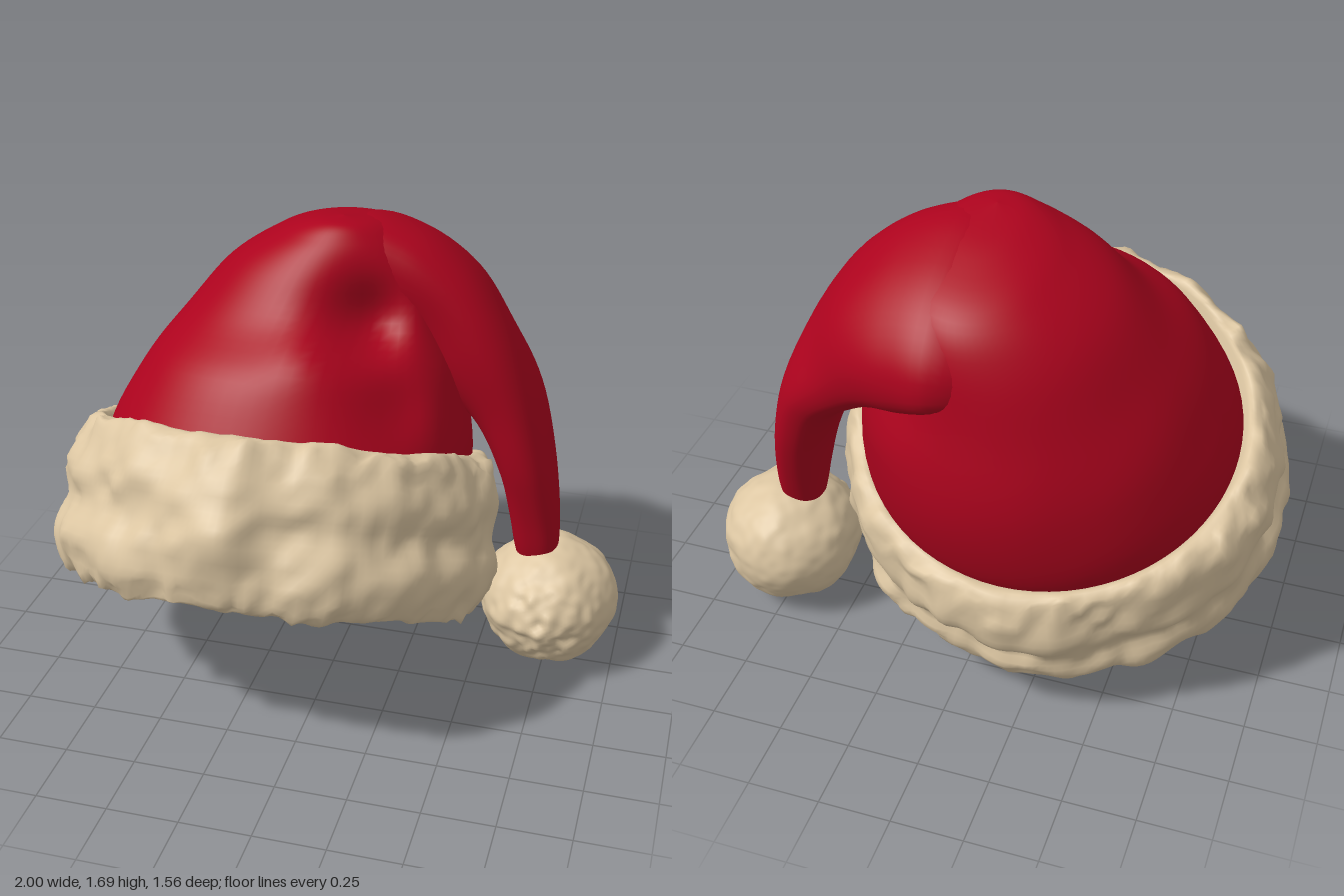
import * as THREE from 'three';
import { mergeVertices } from 'three/addons/utils/BufferGeometryUtils.js';

const TAU = Math.PI * 2;
const V = (x, y, z) => new THREE.Vector3(x, y, z);

// Seeded value noise, -1..1
const hash = (x, y, z) => {
  const s = Math.sin(x * 127.1 + y * 311.7 + z * 74.7) * 43758.5453;
  return (s - Math.floor(s)) * 2 - 1;
};
function noise(p, f) {
  const q = [p.x * f, p.y * f, p.z * f];
  const i = q.map(Math.floor);
  const w = q.map((v, k) => { const t = v - i[k]; return t * t * (3 - 2 * t); });
  let sum = 0;
  for (let c = 0; c < 8; c++) {
    const d = [c & 1, (c >> 1) & 1, c >> 2];
    const weight = d.reduce((m, b, k) => m * (b ? w[k] : 1 - w[k]), 1);
    sum += weight * hash(i[0] + d[0], i[1] + d[1], i[2] + d[2]);
  }
  return sum;
}
const bump = (p, x, y, z, r) => Math.exp(-p.distanceToSquared(V(x, y, z)) / (r * r));

// Skin over closed rings, each an array of points
function loft(rings) {
  const n = rings[0].length;
  const index = [];
  for (let i = 0; i < rings.length - 1; i++) {
    for (let j = 0; j < n; j++) {
      const a = i * n + j, b = i * n + (j + 1) % n;
      index.push(a, b, b + n, a, b + n, a + n);
    }
  }
  const geo = new THREE.BufferGeometry().setFromPoints(rings.flat());
  geo.setIndex(index);
  geo.computeVertexNormals();
  return geo;
}

// Smooth oval rings from keys [a1, b1, a2, b2, side1, side2]: two opposite
// points in a plane, and the extent across it; a power below 1 is squarer
function ovalRings(keys, steps, sides, power, place) {
  const first = new THREE.CatmullRomCurve3(keys.map(k => V(k[0], k[1], k[4])));
  const second = new THREE.CatmullRomCurve3(keys.map(k => V(k[2], k[3], k[5])));
  const soften = v => Math.sign(v) * Math.abs(v) ** power;
  return Array.from({ length: steps + 1 }, (_, i) => {
    const p = first.getPoint(i / steps), q = second.getPoint(i / steps);
    return Array.from({ length: sides }, (_, j) => {
      const c = soften(Math.cos(j / sides * TAU)), s = soften(Math.sin(j / sides * TAU));
      return place((p.x + q.x + c * (p.x - q.x)) / 2,
        (p.y + q.y + c * (p.y - q.y)) / 2,
        (p.z + q.z + s * (q.z - p.z)) / 2);
    });
  });
}

export function createModel() {
  const red = new THREE.MeshStandardMaterial({ color: 0xac031d, side: THREE.DoubleSide });
  red.name = 'red cloth';
  const cream = new THREE.MeshStandardMaterial({ color: 0xdcc6a2 });
  cream.name = 'cream fur';

  const hat = new THREE.Group();
  hat.name = 'hat';
  const add = (name, geo, mat) => {
    const mesh = new THREE.Mesh(geo, mat);
    mesh.name = name;
    hat.add(mesh);
    return mesh;
  };

  // Cloth crown, from the lining down to the rim and up to the peak:
  // front z, y; back z, y; right and left x
  const crown = ovalRings([
    [0.41, 1.14, -0.68, 0.64, -0.79, 0.4],
    [0.61, 0.7, -0.445, 0.2, -0.8, 0.4],
    [0.655, 0.665, -0.44, 0.106, -0.82, 0.42],
    [0.53, 0.97, -0.61, 0.45, -0.83, 0.44],
    [0.47, 1.09, -0.72, 0.63, -0.83, 0.46],
    [0.34, 1.28, -0.77, 0.9, -0.73, 0.42],
    [0.17, 1.41, -0.745, 1.15, -0.59, 0.36],
    [0.05, 1.56, -0.7, 1.38, -0.44, 0.3],
    [-0.02, 1.64, -0.62, 1.53, -0.28, 0.22],
    [-0.08, 1.685, -0.42, 1.63, -0.14, 0.12],
    [-0.17, 1.69, -0.17, 1.69, -0.01, -0.01],
  ], 60, 72, 1, (z, y, x) => V(x, y, z));
  crown.forEach((ring, i) => ring.forEach((p, j) => {
    // Rim sagging at the sides
    const sag = Math.max(0, 1 - Math.abs(i - 12) / 6);
    p.y -= 0.04 * sag * Math.sin(j / 72 * TAU) ** 2;
    // Folds under the bend at front and back, and soft wrinkles above the cuff
    const dent = 0.13 * bump(p, 0.13, 1.43, 0.09, 0.14) - 0.04 * bump(p, -0.02, 1.32, 0.2, 0.12)
      + 0.05 * bump(p, 0.27, 1.18, 0.2, 0.13) - 0.05 * bump(p, 0.2, 1.24, -0.65, 0.12);
    p.z -= dent;
    p.y -= dent * 0.4;
    const k = 1 + 0.022 * noise(p, 4) * THREE.MathUtils.smoothstep(i, 24, 32);
    p.x = -0.17 + (p.x + 0.17) * k;
    p.z = -0.15 + (p.z + 0.15) * k;
  }));
  add('crown', loft(crown), red);

  // Drooping tip: outer x, y; inner x, y; back and front z
  const tail = ovalRings([
    [-0.25, 1.46, -0.17, 1.25, -0.6, -0.2],
    [0.02, 1.635, 0.03, 1.25, -0.73, -0.07],
    [0.23, 1.6, 0.12, 1.19, -0.7, -0.08],
    [0.41, 1.475, 0.22, 1.13, -0.645, -0.09],
    [0.55, 1.285, 0.32, 1.05, -0.59, -0.09],
    [0.665, 1.06, 0.45, 0.95, -0.535, -0.1],
    [0.73, 0.82, 0.54, 0.77, -0.48, -0.13],
    [0.765, 0.6, 0.59, 0.58, -0.41, -0.18],
    [0.77, 0.45, 0.62, 0.44, -0.36, -0.21],
    [0.74, 0.34, 0.66, 0.34, -0.32, -0.25],
  ], 54, 48, 0.85, (x, y, z) => V(x, y, z));
  for (const p of tail.flat()) {
    // The bend slopes down towards the back
    p.y += 0.33 * (p.z + 0.39) * THREE.MathUtils.smoothstep(p.y, 0.9, 1.3);
    p.z += 0.014 * noise(p, 4);
  }
  add('droopingTip', loft(tail), red);

  // Fur cuff: a lumpy profile turned around a tilted axis
  const profile = new THREE.CatmullRomCurve3([
    [0.645, -0.2], [0.665, -0.265], [0.72, -0.265], [0.77, -0.2], [0.785, -0.1], [0.755, 0],
    [0.775, 0.09], [0.75, 0.19], [0.71, 0.27], [0.66, 0.285], [0.625, 0.24],
  ].map(([r, y]) => V(r, y, 0)));
  const cuff = Array.from({ length: 37 }, (_, i) => {
    const { x: r, y } = profile.getPoint(i / 36);
    return Array.from({ length: 200 }, (_, j) => {
      const a = j / 200 * TAU;
      const p = V(r * Math.sin(a), y, r * Math.cos(a));
      const outer = THREE.MathUtils.clamp((r - 0.65) / 0.08, 0, 1);
      const tuft = 0.11 * bump(p, 0.02, -0.02, 0.76, 0.13) + 0.05 * bump(p, 0, 0.2, 0.74, 0.1);
      const flat = 0.035 * Math.max(0, Math.cos(a));
      const lump = 0.028 * noise(p, 6) + 0.016 * noise(p, 15) + tuft - flat;
      const k = 1 + outer * lump / r;
      p.x *= k;
      p.z *= k;
      // Ragged upper and lower edges, the lower one raised at the back
      const edge = outer * Math.min(1, Math.abs(y) / 0.25) ** 3;
      p.y += edge * Math.sign(y) * (0.03 * noise(V(p.x, 0, p.z), 15) + 0.018 * noise(p, 28));
      if (y < 0) p.y += 0.06 * Math.max(0, -Math.cos(a)) * Math.min(1, -y / 0.25);
      return p;
    });
  });
  const furCuff = add('furCuff', loft(cuff), cream);
  furCuff.position.set(-0.2, 0.62, 0);
  furCuff.rotation.x = -25 * Math.PI / 180;

  // Fur ball at the tip, tufted towards the front
  let ball = new THREE.IcosahedronGeometry(1, 24);
  ball.deleteAttribute('normal');
  ball.deleteAttribute('uv');
  ball = mergeVertices(ball, 1e-4);
  const pos = ball.attributes.position;
  for (let i = 0; i < pos.count; i++) {
    const p = V().fromBufferAttribute(pos, i);
    const rough = 0.15 + 0.85 * bump(p, 0.1, 0, 1, 0.6);
    const k = 1 + 0.035 * noise(p, 2.5) + 0.1 * rough * noise(p, 7) + 0.06 * bump(p, 0.1, 0, 1, 0.35);
    p.multiplyScalar(k);
    pos.setXYZ(i, p.x * 0.248, p.y * 0.235, p.z * 0.26);
  }
  ball.computeVertexNormals();
  add('furBall', ball, cream).position.set(0.75, 0.24, -0.29);

  return hat;
}
